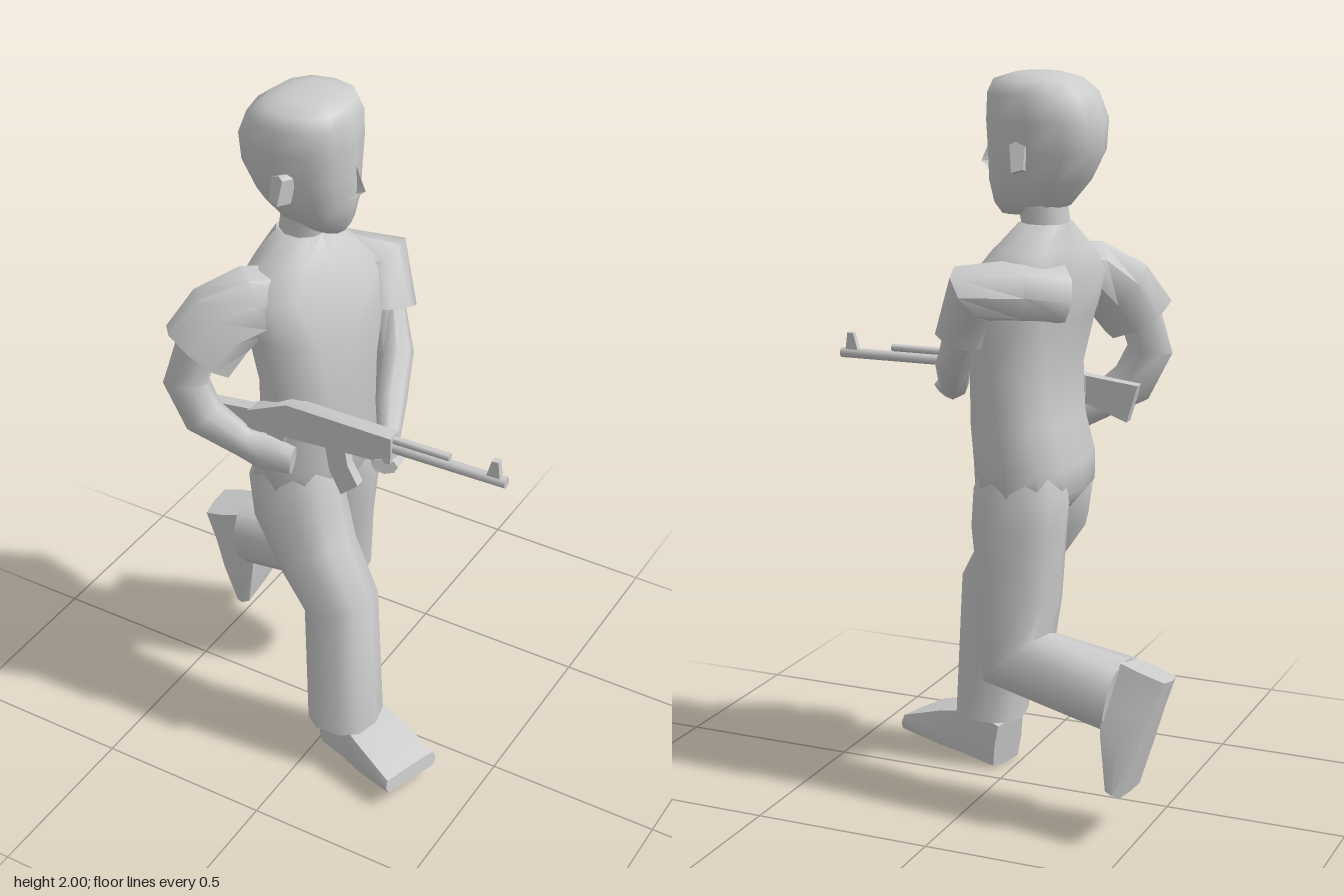
import * as THREE from 'three';
import { mergeVertices, toCreasedNormals } from 'three/addons/utils/BufferGeometryUtils.js';

const material = new THREE.MeshStandardMaterial({ color: 0xcccccc });
const V = (x, y, z) => new THREE.Vector3(x, y, z);
const UP = V(0, 1, 0);

function add(parent, name, geometry, crease = 1) {
  const mesh = new THREE.Mesh(toCreasedNormals(geometry, crease), material);
  mesh.name = name;
  parent.add(mesh);
  return mesh;
}

// Closed skin through rings [x, y, z, halfA, halfB, twist]; halfB lies along ref.
// power < 1 makes the sections squarer; axis keeps all rings parallel.
function loft(rings, { sides = 10, power = 1, ref = V(0, 0, 1), axis = null } = {}) {
  const centres = rings.map(r => V(r[0], r[1], r[2]));
  const pos = [], index = [], last = rings.length - 1;
  const soft = v => Math.sign(v) * Math.pow(Math.abs(v), power);
  rings.forEach(([, , , a, b, twist = 0], i) => {
    const t = V(0, 0, 0);
    if (axis) t.copy(axis);
    else {
      if (i > 0) t.add(centres[i].clone().sub(centres[i - 1]).normalize());
      if (i < last) t.add(centres[i + 1].clone().sub(centres[i]).normalize());
      t.normalize();
    }
    const u = ref.clone().cross(t).normalize().applyAxisAngle(t, twist);
    const v = t.clone().cross(u);
    for (let k = 0; k < sides; k++) {
      const w = k / sides * Math.PI * 2;
      const p = centres[i].clone().addScaledVector(u, a * soft(Math.cos(w)))
        .addScaledVector(v, b * soft(Math.sin(w)));
      pos.push(p.x, p.y, p.z);
    }
  });
  for (let i = 0; i < last; i++) for (let k = 0; k < sides; k++) {
    const n = (k + 1) % sides, p = i * sides, q = p + sides;
    index.push(p + k, p + n, q + n, p + k, q + n, q + k);
  }
  // end caps
  const c0 = pos.length / 3, c1 = c0 + 1;
  pos.push(...centres[0].toArray(), ...centres[last].toArray());
  for (let k = 0; k < sides; k++) {
    const n = (k + 1) % sides;
    index.push(c0, n, k, c1, last * sides + k, last * sides + n);
  }
  const g = new THREE.BufferGeometry();
  g.setAttribute('position', new THREE.Float32BufferAttribute(pos, 3));
  g.setIndex(index);
  return mergeVertices(g);
}

// Flat plate from a side outline, centred on z = 0
function plate(points, depth) {
  const shape = new THREE.Shape(points.map(p => new THREE.Vector2(...p)));
  return new THREE.ExtrudeGeometry(shape, { depth, bevelEnabled: false }).translate(0, 0, -depth / 2);
}

function makeHead() {
  const head = new THREE.Group();
  head.name = 'head';
  // height, back x, front x, half width
  const levels = [
    [1.63, -0.16, -0.02, 0.04], [1.66, -0.215, 0, 0.07], [1.72, -0.265, 0.01, 0.105],
    [1.8, -0.303, 0.01, 0.128], [1.88, -0.306, 0.012, 0.142], [1.95, -0.275, 0.006, 0.146],
    [1.985, -0.23, -0.01, 0.125], [2, -0.18, -0.06, 0.07]];
  add(head, 'skull', loft(levels.map(([y, x0, x1, w]) => [(x0 + x1) / 2, y, -0.03, (x1 - x0) / 2, w]),
    { sides: 12, power: 0.85, axis: UP }));
  add(head, 'nose', loft([[0, 1.83, -0.03, 0.012, 0.012], [0, 1.762, -0.03, 0.042, 0.024],
    [0, 1.738, -0.03, 0.015, 0.018]], { sides: 6, axis: UP }));
  for (const s of [1, -1]) {
    const ear = add(head, s > 0 ? 'rightEar' : 'leftEar',
      plate([[-0.02, -0.03], [0.01, -0.04], [0.02, 0.03], [0.005, 0.04], [-0.02, 0.03]], 0.05));
    ear.position.set(-0.12, 1.79, -0.03 + s * 0.138);
    ear.rotation.set(-s * 0.2, -s * 0.25, 0);
  }
  return head;
}

function makeRifle() {
  const rifle = new THREE.Group();
  rifle.name = 'rifle';
  add(rifle, 'receiver', plate([[-0.18, 1.1], [0.25, 1.125], [0.25, 1.205], [-0.06, 1.21], [-0.18, 1.155]], 0.045));
  add(rifle, 'stock', plate([[-0.3, 1.035], [-0.1, 1.11], [-0.12, 1.165], [-0.33, 1.14]], 0.035));
  add(rifle, 'magazine', plate([[0.05, 1.13], [0.11, 1.13], [0.12, 1.07], [0.15, 1.015], [0.1, 0.97], [0.065, 1.04]], 0.03));
  add(rifle, 'grip', plate([[-0.12, 1.13], [-0.06, 1.13], [-0.09, 1.03], [-0.13, 1.04]], 0.03));
  const rod = (name, r, x0, x1, y) => add(rifle, name,
    new THREE.CylinderGeometry(r, r, x1 - x0, 8).rotateZ(Math.PI / 2).translate((x0 + x1) / 2, y, 0));
  rod('barrel', 0.015, 0.24, 0.57, 1.165);
  rod('gasTube', 0.011, 0.24, 0.41, 1.19);
  add(rifle, 'frontSight', plate([[0.515, 1.17], [0.555, 1.17], [0.548, 1.225], [0.53, 1.225]], 0.018));
  rifle.position.z = 0.185;
  rifle.rotation.y = 0.035;
  return rifle;
}

// Shoe with the heel at its origin, toe along +x
const shoe = () => loft([[0, 0.07, 0, 0.07, 0.06], [0.1, 0.077, 0, 0.077, 0.072],
  [0.19, 0.06, 0, 0.06, 0.09], [0.325, 0.024, 0, 0.024, 0.098]], { sides: 8, power: 0.28, axis: V(1, 0, 0) });

export function createModel() {
  const model = new THREE.Group();
  model.name = 'runningFigure';

  // trunk, the shoulders twisting as it rises
  add(model, 'torso', loft([
    [-0.11, 0.835, -0.01, 0.1, 0.12], [-0.112, 0.89, -0.018, 0.142, 0.205], [-0.11, 0.97, -0.018, 0.143, 0.212],
    [-0.09, 1.08, -0.018, 0.133, 0.208], [-0.085, 1.22, -0.015, 0.125, 0.2, -0.1],
    [-0.1, 1.36, -0.02, 0.138, 0.205, -0.25], [-0.125, 1.47, -0.025, 0.125, 0.215, -0.38],
    [-0.135, 1.545, -0.03, 0.1, 0.145, -0.38], [-0.145, 1.61, -0.03, 0.067, 0.07, -0.2]],
    { sides: 12, power: 0.8, axis: UP }));
  add(model, 'neck', loft([[-0.15, 1.52, -0.03, 0.07, 0.07], [-0.145, 1.6, -0.03, 0.065, 0.068],
    [-0.13, 1.68, -0.03, 0.07, 0.066]], { axis: UP }));
  model.add(makeHead());

  // trousers
  add(model, 'rightLeg', loft([
    [-0.11, 1.02, 0.07, 0.09, 0.08], [-0.105, 0.9, 0.09, 0.132, 0.1], [-0.085, 0.8, 0.1, 0.135, 0.102],
    [-0.02, 0.68, 0.122, 0.115, 0.1], [0.07, 0.55, 0.142, 0.1, 0.097], [0.09, 0.15, 0.152, 0.1, 0.105]],
    { power: 0.8 }));
  add(model, 'leftLeg', loft([
    [-0.11, 1.02, -0.1, 0.09, 0.08], [-0.115, 0.9, -0.12, 0.132, 0.107], [-0.11, 0.8, -0.125, 0.13, 0.11],
    [-0.12, 0.6, -0.14, 0.11, 0.105], [-0.13, 0.445, -0.17, 0.117, 0.1], [-0.43, 0.39, -0.193, 0.1, 0.105]],
    { power: 0.8 }));

  // shoes
  const rightShoe = add(model, 'rightShoe', shoe(), 0.7);
  rightShoe.position.set(0.035, 0.005, 0.115);
  rightShoe.rotation.set(0, -0.3, 0.15, 'YZX');
  const leftShoe = add(model, 'leftShoe', shoe(), 0.7);
  leftShoe.position.set(-0.57, 0.443, -0.18);
  leftShoe.rotation.set(0, 0.15, -1.27, 'ZYX');

  // right arm, bent back with the hand at the grip
  add(model, 'rightSleeve', loft([
    [-0.12, 1.46, 0.03, 0.07, 0.07], [-0.2, 1.45, 0.135, 0.1, 0.085], [-0.26, 1.405, 0.2, 0.108, 0.085],
    [-0.305, 1.32, 0.25, 0.108, 0.074]], { sides: 8 }));
  add(model, 'rightForearm', loft([
    [-0.3, 1.36, 0.24, 0.065, 0.055], [-0.335, 1.23, 0.265, 0.066, 0.057], [-0.285, 1.13, 0.262, 0.064, 0.052],
    [-0.18, 1.06, 0.228, 0.045, 0.038], [-0.12, 1.04, 0.215, 0.058, 0.038], [-0.045, 1.03, 0.2, 0.045, 0.027]],
    { sides: 8 }));

  // left arm, reaching across to the fore-end
  add(model, 'leftSleeve', loft([
    [-0.21, 1.43, -0.09, 0.08, 0.09], [-0.12, 1.445, -0.17, 0.085, 0.095], [-0.015, 1.44, -0.22, 0.085, 0.095],
    [0.025, 1.33, -0.175, 0.08, 0.09]], { sides: 8 }));
  add(model, 'leftForearm', loft([
    [0.015, 1.37, -0.185, 0.052, 0.06], [0.08, 1.23, -0.13, 0.05, 0.054], [0.13, 1.15, -0.02, 0.042, 0.044],
    [0.18, 1.11, 0.08, 0.03, 0.032], [0.215, 1.105, 0.14, 0.045, 0.027], [0.235, 1.115, 0.2, 0.035, 0.022]],
    { sides: 8, ref: UP }));

  model.add(makeRifle());
  return model;
}
